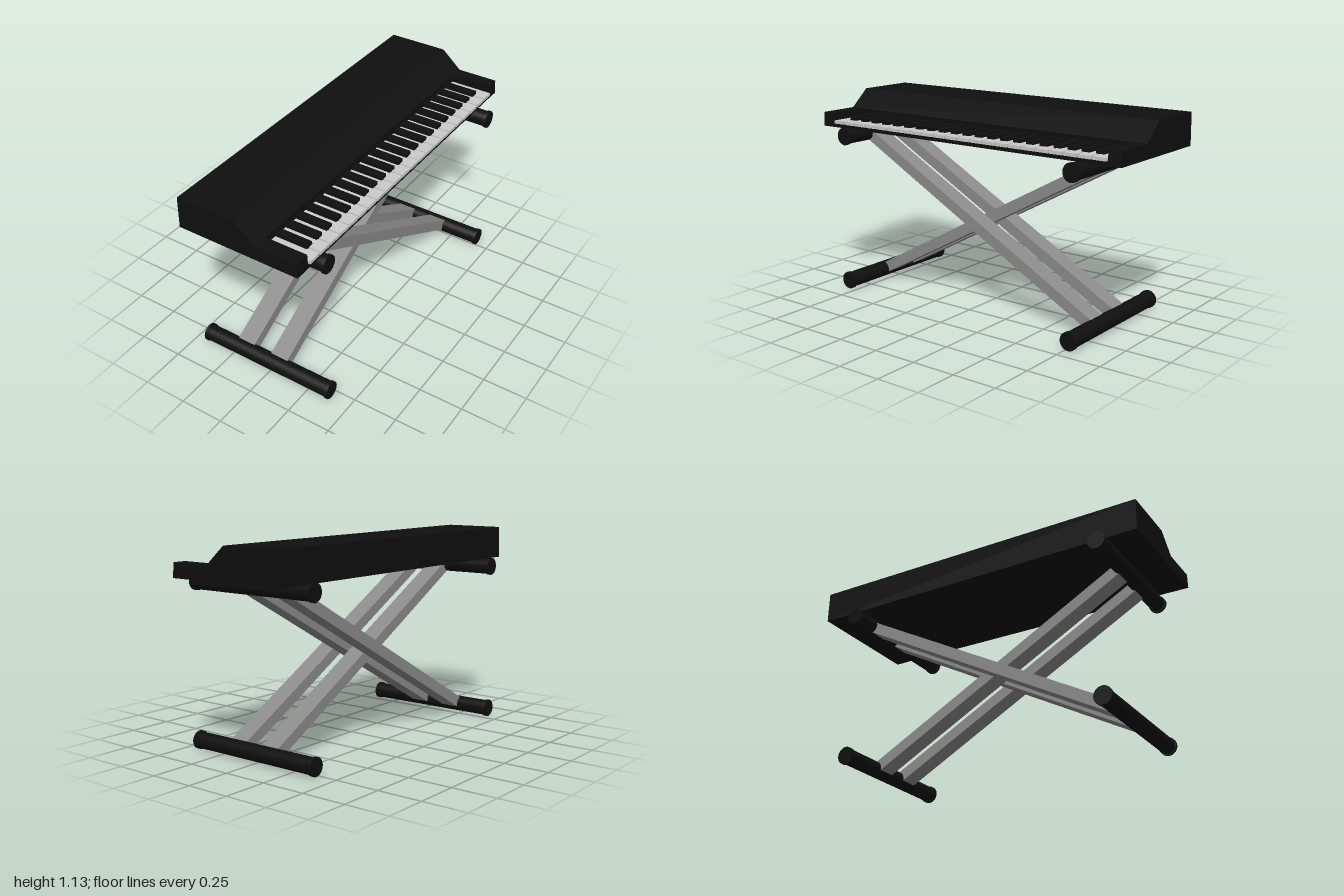
import * as THREE from 'three';

const black = new THREE.MeshStandardMaterial({ color: 0x0f0f0f });
const grey = new THREE.MeshStandardMaterial({ color: 0x8c8c8c });
const white = new THREE.MeshStandardMaterial({ color: 0xcccccc });

export function createModel() {
  const model = new THREE.Group();

  const add = (parent, name, geometry, material, x = 0, y = 0, z = 0) => {
    const mesh = new THREE.Mesh(geometry, material);
    mesh.name = name;
    mesh.position.set(x, y, z);
    parent.add(mesh);
    return mesh;
  };
  // box given by its limits on each axis
  const block = (parent, name, material, [x0, x1], [y0, y1], [z0, z1]) =>
    add(parent, name, new THREE.BoxGeometry(x1 - x0, y1 - y0, z1 - z0), material,
      (x0 + x1) / 2, (y0 + y1) / 2, (z0 + z1) / 2);
  // side profile drawn in x/y and extruded along z
  const extrude = (parent, name, points, z0, z1) => {
    const shape = new THREE.Shape(points.map(([x, y]) => new THREE.Vector2(x, y)));
    const geometry = new THREE.ExtrudeGeometry(shape, { depth: z1 - z0, bevelEnabled: false });
    return add(parent, name, geometry, black, 0, 0, z0);
  };

  // Keyboard case: raised rear housing, key bed and two end cheeks
  const keyboard = new THREE.Group();
  keyboard.name = 'keyboard';
  model.add(keyboard);
  const keyStart = -0.92, keyEnd = 0.91, base = 0.95;
  extrude(keyboard, 'housing',
    [[-0.362, base], [0.106, base], [0.106, 1.03], [-0.01, 1.131], [-0.357, 1.131]], -1, 1);
  const cheek = [[0.106, base], [0.347, base], [0.342, 1.03], [0.106, 1.03]];
  extrude(keyboard, 'rightCheek', cheek, keyEnd + 0.003, 1);
  extrude(keyboard, 'leftCheek', cheek, -1, keyStart - 0.003);
  block(keyboard, 'keyBed', black, [0.106, 0.346], [base, 0.97], [keyStart - 0.003, keyEnd + 0.003]);

  // Keys: 22 white, with a black key over every joint
  const keys = new THREE.Group();
  keys.name = 'keys';
  keyboard.add(keys);
  const count = 22, pitch = (keyEnd - keyStart) / count;
  for (let i = 0; i < count; i++) {
    const z = keyStart + i * pitch;
    block(keys, 'whiteKey', white, [0.106, 0.354], [0.972, 0.99], [z + 0.004, z + pitch - 0.004]);
    if (i > 0) block(keys, 'blackKey', black, [0.106, 0.288], [0.975, 1.008], [z - 0.031, z + 0.015]);
  }

  // Stand: four cross tubes with a collar at each end
  const stand = new THREE.Group();
  stand.name = 'stand';
  model.add(stand);
  const lowY = 0.051, highY = 0.911, frontZ = 0.8, rearZ = -0.77;
  const rod = (name, radius, x0, x1, y, z) => {
    const geometry = new THREE.CylinderGeometry(radius, radius, x1 - x0, 32).rotateZ(Math.PI / 2);
    add(stand, name, geometry, black, (x0 + x1) / 2, y, z);
  };
  for (const y of [lowY, highY]) {
    for (const [z, x0, x1] of [[frontZ, -0.43, 0.386], [rearZ, -0.39, 0.428]]) {
      rod('crossTube', 0.045, x0 + 0.01, x1 - 0.01, y, z);
      rod('tubeCollar', 0.05, x0, x0 + 0.018, y, z);
      rod('tubeCollar', 0.05, x1 - 0.018, x1, y, z);
    }
  }

  // Two interleaved pairs of crossing legs
  const length = Math.hypot(frontZ - rearZ, highY - lowY);
  const tilt = Math.atan2(highY - lowY, frontZ - rearZ);
  for (const [x, direction] of [[-0.182, 1], [-0.073, -1], [0.038, 1], [0.144, -1]]) {
    const leg = add(stand, 'leg', new THREE.BoxGeometry(0.107, 0.062, length - 0.03), grey,
      x, (lowY + highY) / 2, (frontZ + rearZ) / 2);
    leg.rotation.x = direction * tilt;
  }
  return model;
}
